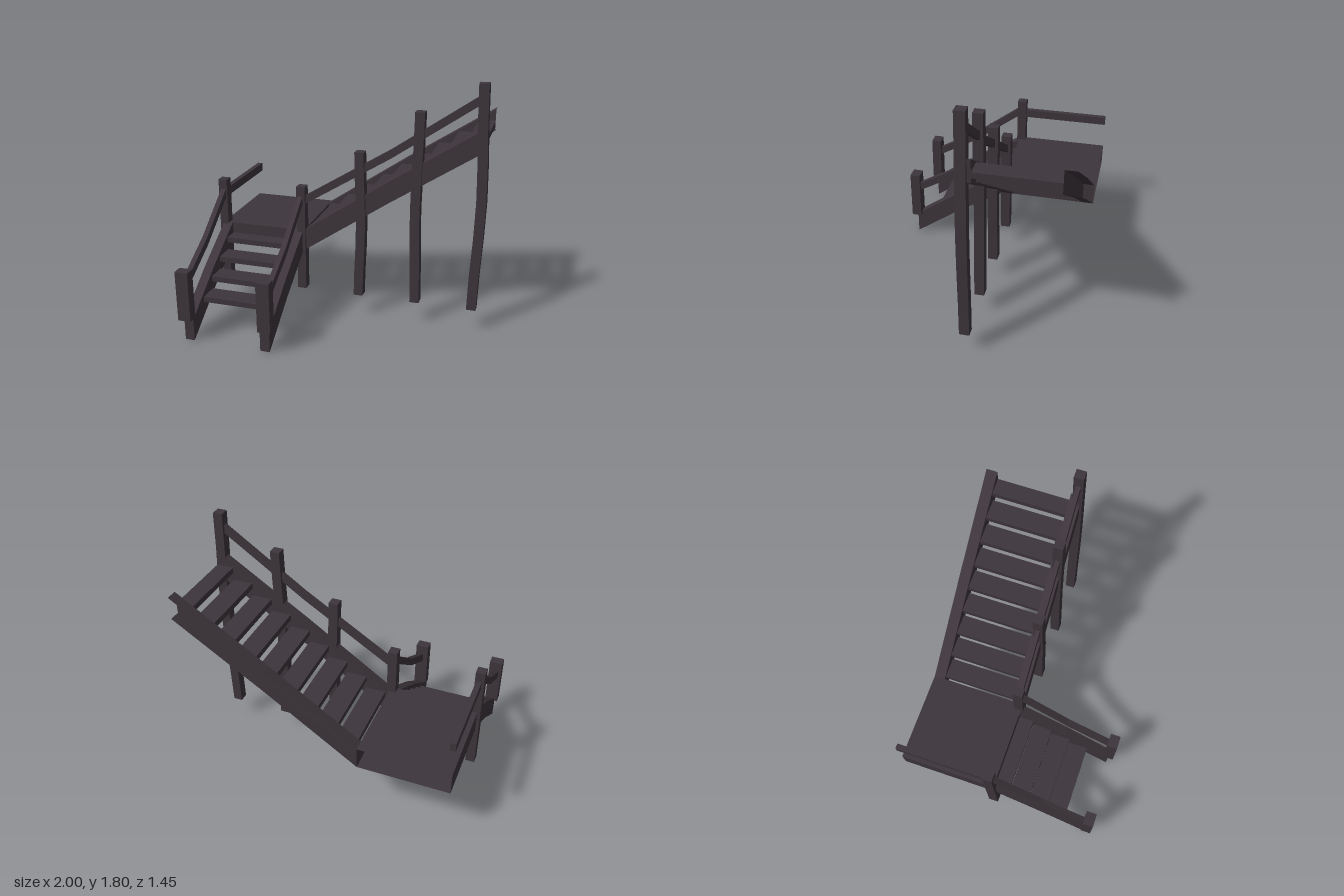
import * as THREE from 'three';

const wood = new THREE.MeshStandardMaterial({ color: 0x3d353b, side: THREE.DoubleSide });
wood.name = 'dark wood';

export function createModel() {
  const model = new THREE.Group();
  model.name = 'staircase';

  const add = (name, geometry) => {
    const mesh = new THREE.Mesh(geometry, wood);
    mesh.name = name;
    model.add(mesh);
    return mesh;
  };

  // Box given by its limits on each axis
  const box = (name, x0, x1, y0, y1, z0, z1, segments = 1) => {
    const g = new THREE.BoxGeometry(x1 - x0, y1 - y0, z1 - z0, 1, segments, 1);
    g.translate((x0 + x1) / 2, (y0 + y1) / 2, (z0 + z1) / 2);
    return add(name, g);
  };

  // Outline of a sloping beam: lower edge points, raised by h for the upper edge
  const beamShape = (path, h) => new THREE.Shape([
    ...path.map(([u, y]) => new THREE.Vector2(u, y)),
    ...path.slice().reverse().map(([u, y]) => new THREE.Vector2(u, y + h)),
  ]);

  // Sloping beam running along x, between z0 and z1
  const beamX = (name, path, h, z0, z1) => {
    const g = new THREE.ExtrudeGeometry(beamShape(path, h), { depth: z1 - z0, bevelEnabled: false });
    return add(name, g.translate(0, 0, z0));
  };

  // Sloping beam running along z, between x0 and x1
  const beamZ = (name, path, h, x0, x1) => {
    const g = new THREE.ExtrudeGeometry(beamShape(path, h), { depth: x1 - x0, bevelEnabled: false });
    return add(name, g.rotateY(-Math.PI / 2).translate(x1, 0, 0));
  };

  // Thin board following a path in x and y, between z0 and z1
  const sheet = (name, path, z0, z1) => {
    let g = new THREE.PlaneGeometry(1, 1, path.length - 1, 1);
    const p = g.attributes.position;
    for (let i = 0; i < p.count; i++) {
      const [x, y] = path[i % path.length];
      p.setXYZ(i, x, y, i < path.length ? z0 : z1);
    }
    g = g.toNonIndexed();
    g.computeVertexNormals();
    return add(name, g);
  };

  // Landing: hollow, open at the back
  const L = -0.975, R = -0.33, B = -0.725, F = -0.03, LOW = 0.47, TOP = 0.63;
  sheet('landingTop', [[L, TOP], [R, TOP]], B, F);
  sheet('landingUnderside', [[R, LOW], [L, LOW]], B, F);
  sheet('landingLeftEdge', [[L, LOW], [L, TOP]], B, F);
  sheet('landingRightEdge', [[R, TOP], [R, LOW]], B, F);
  const apron = new THREE.PlaneGeometry(R - L, TOP - LOW);
  add('landingFrontEdge', apron.translate((L + R) / 2, (TOP + LOW) / 2, F));

  // Upper flight: solid front stringer, channel-shaped back stringer open outwards
  const upper = [[R, LOW], [0.32, 0.915], [0.965, 1.337]];
  const upperTop = upper.map(([x, y]) => [x, y + 0.162]);
  beamX('upperFrontStringer', upper, 0.162, -0.108, F);
  sheet('upperBackTopFlange', upperTop, B, -0.645);
  sheet('upperBackBottomFlange', upper, B, -0.645);
  add('upperBackWeb', new THREE.ShapeGeometry(beamShape(upper, 0.162)).translate(0, 0, -0.645));
  for (let i = 0; i < 9; i++) {
    const x = -0.309 + i * 0.144, y = 0.636 + i * 0.097;
    box('upperTread', x, Math.min(x + 0.147, 0.965), y - 0.041, y, -0.645, -0.108);
  }
  beamX('upperHandrail', [[-0.34, 0.825], [0.32, 1.238], [0.93, 1.662]], 0.064, -0.062, -0.03);

  // Lower flight, mirrored about its own middle
  const lower = [[0.685, 0], [0.33, 0.25], [F, 0.47]];
  const lowerRail = [[0.68, 0.38], [0.33, 0.58], [-0.04, 0.857]];
  const mid = -0.655;
  for (const s of [-1, 1]) {
    const span = (a, b) => [mid + s * a, mid + s * b].sort((p, q) => p - q);
    beamZ('lowerStringer', lower, 0.163, ...span(0.25, 0.32));
    beamZ('lowerHandrail', lowerRail, 0.064, ...span(0.286, 0.324));
    box('newelPost', ...span(0.25, 0.345), 0.165, 0.535, 0.652, 0.726);
    box('cornerPost', ...span(0.277, 0.343), 0.165, 0.973, -0.082, -0.012);
  }
  for (let i = 0; i < 4; i++) {
    const z = 0.51 - i * 0.144, y = 0.257 + i * 0.097;
    box('lowerTread', -0.905, -0.405, y - 0.04, y, Math.max(z - 0.147, F), z);
  }

  // Level rail along the landing
  box('landingHandrail', -0.979, -0.941, 0.838, 0.9, B, -0.04);

  // Tall posts, each bowed slightly to one side
  for (const [x, top, bow] of [[0.097, 1.27, 0.015], [0.522, 1.585, -0.016], [0.937, 1.8, 0.027]]) {
    const post = box('tallPost', x - 0.034, x + 0.034, 0.165, top, -0.082, -0.012, 6);
    const p = post.geometry.attributes.position;
    for (let i = 0; i < p.count; i++) {
      const t = (p.getY(i) - 0.165) / (top - 0.165);
      p.setX(i, p.getX(i) + bow * Math.sin(Math.PI * t) ** 2);
    }
    post.geometry.computeVertexNormals();
  }

  return model;
}
